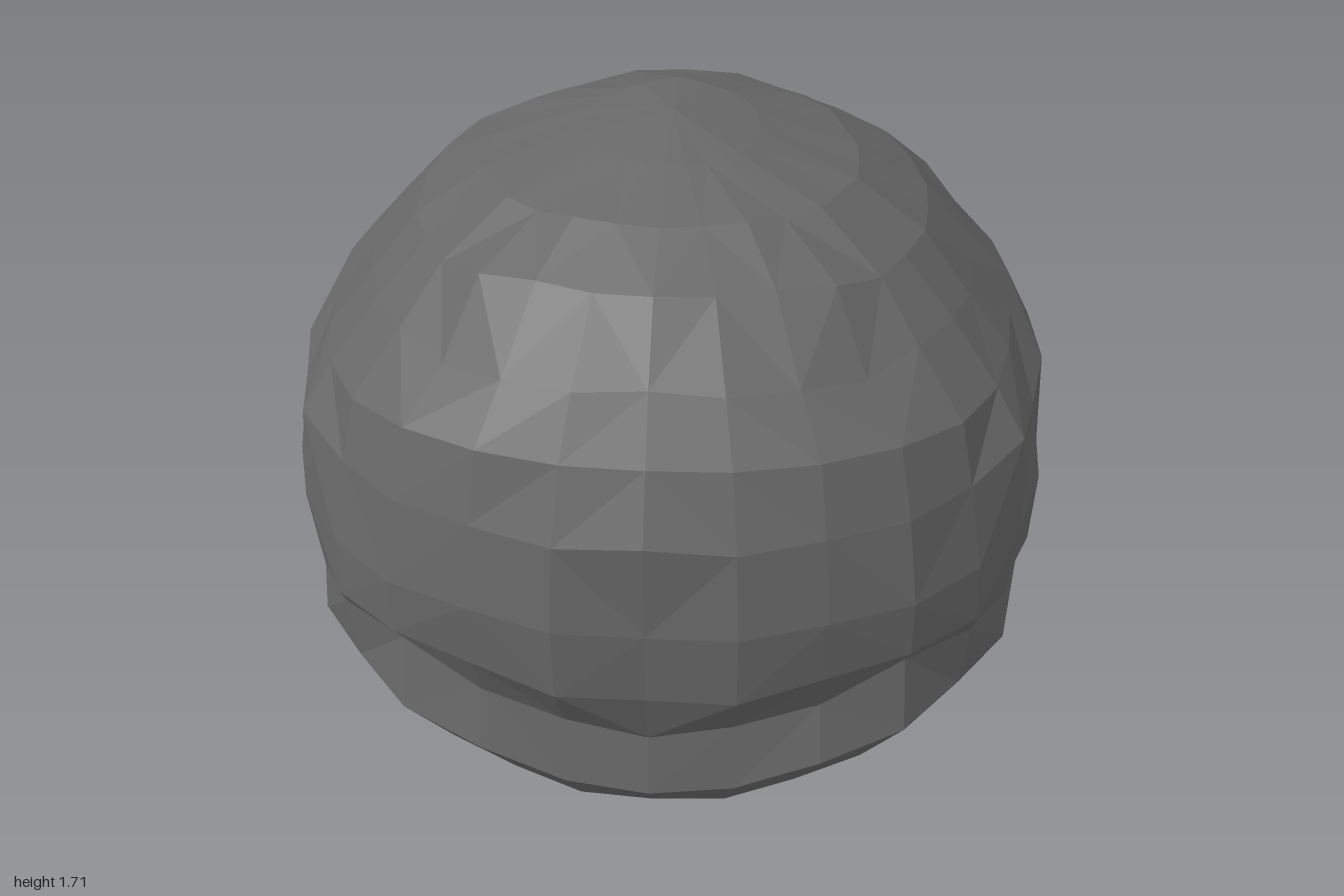
import * as THREE from 'three';

// Each ring: back [z, y], side [x, y], face [z, y], rise at the back corners; from crown to rim.
const OUTER = [
  [0, 1.73, 0, 1.73, 0, 1.73, 0],
  [0.24, 1.69, 0.22, 1.68, -0.23, 1.71, 0],
  [0.45, 1.63, 0.47, 1.60, -0.42, 1.64, 0],
  [0.62, 1.54, 0.65, 1.47, -0.56, 1.59, 0],
  [0.78, 1.36, 0.79, 1.33, -0.69, 1.50, 0],
  [0.88, 1.22, 0.90, 1.19, -0.79, 1.41, 0],
  [0.95, 1.04, 0.97, 1.05, -0.86, 1.32, 0],
  [0.95, 0.80, 0.99, 0.80, -0.95, 1.24, 0],
  [0.92, 0.58, 0.97, 0.60, -0.92, 1.18, 0.06],
  [0.84, 0.40, 0.95, 0.50, -0.90, 1.13, 0.13],
  [0.86, 0.21, 0.96, 0.41, -0.89, 1.10, 0.09],
  [0.74, 0.10, 0.84, 0.31, -0.87, 1.06, 0],
  [0.52, 0.01, 0.72, 0.25, -0.83, 1.04, 0],
];
// The lining starts on the rim and climbs back up inside.
const INNER = [
  OUTER[OUTER.length - 1],
  [0.54, 0.20, 0.67, 0.35, -0.70, 1.08, 0],
  [0.57, 0.50, 0.69, 0.56, -0.62, 1.12, 0],
  [0.53, 0.85, 0.65, 0.83, -0.52, 1.17, 0],
  [0.35, 1.10, 0.42, 1.09, -0.30, 1.21, 0],
  [0, 1.22, 0, 1.22, 0, 1.22, 0],
];
const COLUMNS = 28;
const ROUGH = 0.02;

// Repeatable noise in -1..1
function noise(a, b, c) {
  const s = Math.sin(a * 127.1 + b * 311.7 + c * 74.7) * 43758.5453;
  return 2 * (s - Math.floor(s)) - 1;
}

// Point on a ring, with the same roughness on both sides of the head
function ringPoint([bz, by, sx, sy, fz, fy, rise], j) {
  const angle = (j / COLUMNS) * Math.PI * 2;
  const s = Math.sin(angle), c = Math.cos(angle), back = c > 0;
  const m = Math.min(j, COLUMNS - j);
  const diagonal = Math.sin(2 * angle) ** 2;
  // Full temples beside a fringe that narrows to a point
  const narrow = c < -Math.SQRT1_2 ? 0.09 * Math.sin(4 * angle) ** 2 : 0;
  const corner = back ? 1 + (0.035 + 0.35 * rise) * diagonal : 1 + 0.06 * diagonal - narrow;
  const k = corner * (1 + ROUGH * noise(m, by * 10, sx * 10));
  // Side flaps hang low, then the edge sweeps up to the fringe
  const blend = back ? c ** 1.6 : Math.max((-c) ** 3, THREE.MathUtils.smoothstep(-c, 0.74, 0.93));
  const y = THREE.MathUtils.lerp(sy, back ? by : fy, blend) + (back ? rise * diagonal : 0);
  const lift = ROUGH * 0.8 * Math.min(1, sx * sx * 2) * noise(m + 40, by * 10, sx * 10);
  return [
    THREE.MathUtils.clamp(s * sx * k, -1, 1),
    Math.max(0, y + lift),
    (back ? bz : -fz) * c * k,
  ];
}

// Faceted skin through a list of rings
function skin(rings) {
  const positions = [], index = [], row = COLUMNS + 1;
  rings.forEach((ring) => {
    for (let j = 0; j <= COLUMNS; j++) positions.push(...ringPoint(ring, j));
  });
  const closed = (i) => rings[i][2] === 0;
  for (let i = 0; i < rings.length - 1; i++) {
    for (let j = 0; j < COLUMNS; j++) {
      const a = i * row + j, b = a + 1, c = a + row, d = c + 1;
      const m = Math.min(j, COLUMNS - 1 - j);
      // Mirror the diagonals about the middle and vary them between facets
      const flip = (noise(m, i, 3) > 0) !== (j >= COLUMNS / 2);
      if (closed(i)) index.push(a, c, d);
      else if (closed(i + 1)) index.push(a, c, b);
      else if (flip) index.push(a, c, d, a, d, b);
      else index.push(a, c, b, b, c, d);
    }
  }
  const geometry = new THREE.BufferGeometry();
  geometry.setAttribute('position', new THREE.Float32BufferAttribute(positions, 3));
  geometry.setIndex(index);
  geometry.computeVertexNormals();
  return geometry;
}

export function createModel() {
  const group = new THREE.Group();
  group.name = 'hair';
  const hair = new THREE.MeshStandardMaterial({
    color: 0x686868, flatShading: true, side: THREE.DoubleSide,
  });
  hair.name = 'dark grey';

  // Outer cap of hair with fringe, side flaps and nape roll
  const cap = new THREE.Mesh(skin(OUTER), hair);
  cap.name = 'outerHair';

  // Hollow inside
  const lining = new THREE.Mesh(skin(INNER), hair);
  lining.name = 'innerLining';

  group.add(cap, lining);
  return group;
}
